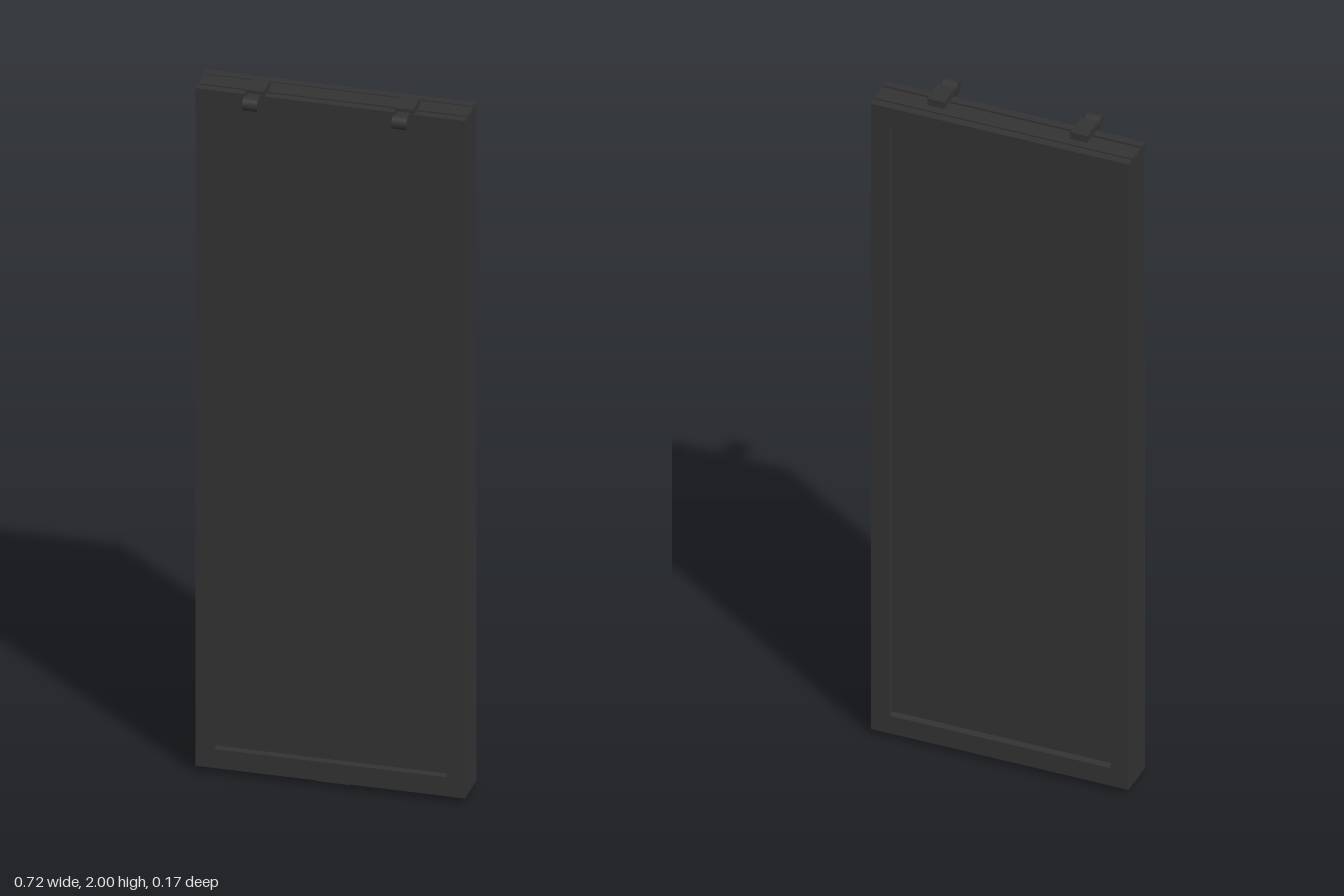
import * as THREE from 'three';

export function createModel() {
  const model = new THREE.Group();
  model.name = 'doorPanel';
  const charcoal = new THREE.MeshStandardMaterial({ color: 0x333333 });
  charcoal.name = 'charcoal';

  const add = (parent, name, geometry, x, y, z) => {
    const mesh = new THREE.Mesh(geometry, charcoal);
    mesh.name = name;
    mesh.position.set(x, y, z);
    parent.add(mesh);
    return mesh;
  };
  // Box given by its x centre, width, y range and z range
  const box = (parent, name, x, w, y0, y1, z0, z1) =>
    add(parent, name, new THREE.BoxGeometry(w, y1 - y0, z1 - z0), x, (y0 + y1) / 2, (z0 + z1) / 2);

  // Rectangular frame with an open middle
  const frame = (name, z0, z1) => {
    const rect = (s, hw, y0, y1) =>
      s.moveTo(-hw, y0).lineTo(hw, y0).lineTo(hw, y1).lineTo(-hw, y1).closePath();
    const shape = rect(new THREE.Shape(), 0.361, 0.018, 1.98);
    shape.holes.push(rect(new THREE.Path(), 0.31, 0.073, 1.923));
    add(model, name, new THREE.ExtrudeGeometry(shape, { depth: z1 - z0, bevelEnabled: false }), 0, 0, z0);
  };
  frame('frontFrame', 0.001, 0.023);
  frame('backFrame', -0.088, -0.065);

  // Solid core, and the thinner infill that bridges the shadow gaps
  box(model, 'core', 0, 0.722, 0.018, 1.98, -0.06, -0.006);
  box(model, 'infillPanel', 0, 0.63, 0.066, 1.93, -0.066, 0.002);

  // Foot under the bottom edge
  box(model, 'foot', 0, 0.09, 0, 0.02, -0.052, -0.008);

  // Hanging brackets over the top edge
  for (const side of [1, -1]) {
    const bracket = new THREE.Group();
    bracket.name = side > 0 ? 'leftBracket' : 'rightBracket';
    bracket.position.x = 0.2 * side;
    model.add(bracket);
    box(bracket, 'bracketTop', 0, 0.048, 1.975, 2, -0.037, 0.035);
    box(bracket, 'bracketLeg', 0, 0.048, 1.932, 2, 0.022, 0.035);
    box(bracket, 'hookNeck', 0, 0.034, 1.965, 1.99, 0.034, 0.066);
    const roller = add(bracket, 'hookRoller', new THREE.CylinderGeometry(0.019, 0.019, 0.04, 16), 0, 1.977, 0.067);
    roller.rotation.z = Math.PI / 2;
  }
  return model;
}
